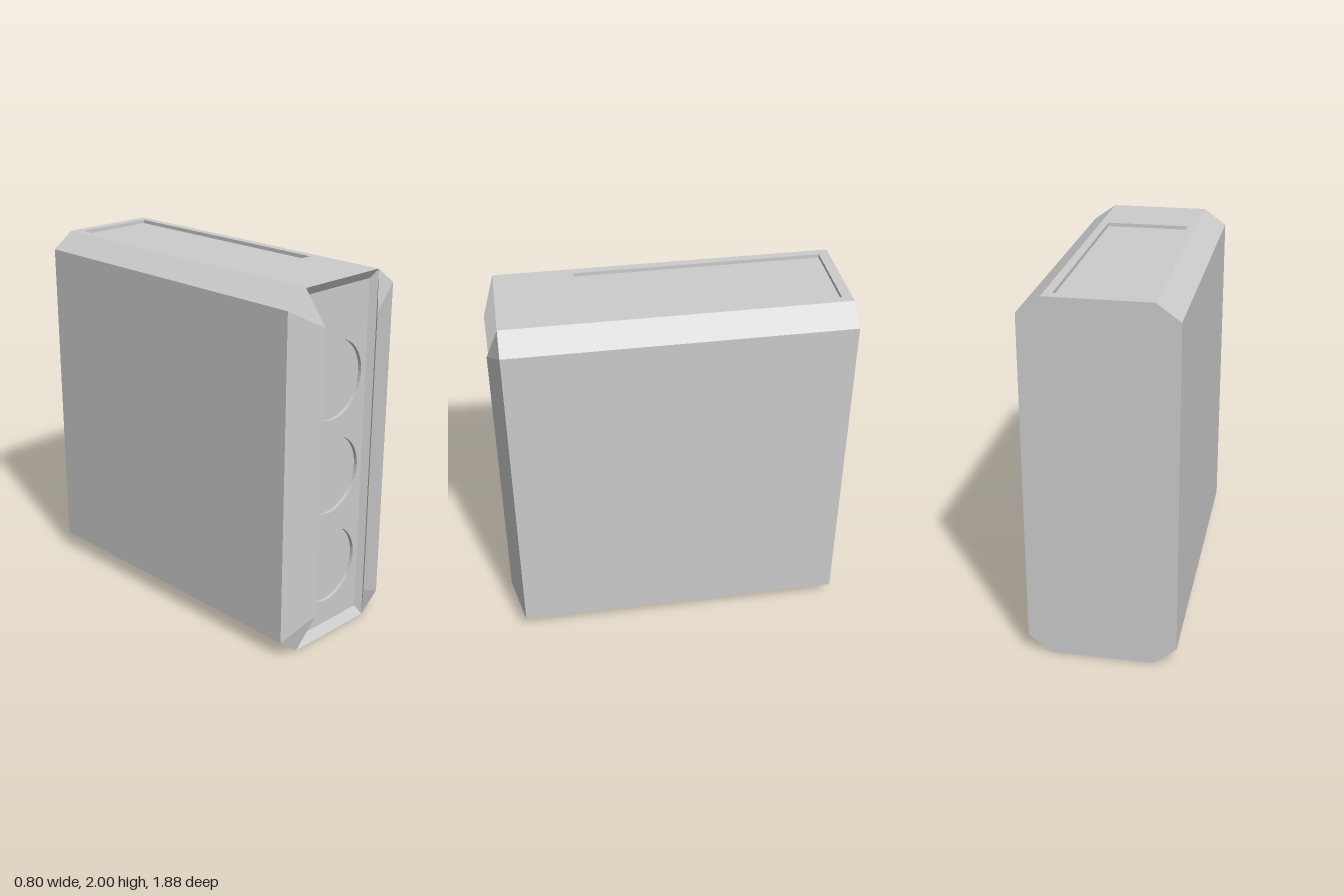
import * as THREE from 'three';

const BACK = -0.94, FRONT = 0.88, TIP = 0.945, PANEL_Z = 0.845;
const material = new THREE.MeshStandardMaterial({ color: 0xcccccc, side: THREE.DoubleSide });

function addMesh(parent, name, geometry) {
  const mesh = new THREE.Mesh(geometry, material);
  mesh.name = name;
  parent.add(mesh);
  return mesh;
}

// Flat-shaded geometry from convex polygons, each a list of [x, y, z] corners
function facets(polygons) {
  const positions = [];
  for (const p of polygons) {
    for (let i = 1; i < p.length - 1; i++) positions.push(...p[0], ...p[i], ...p[i + 1]);
  }
  const geometry = new THREE.BufferGeometry();
  geometry.setAttribute('position', new THREE.Float32BufferAttribute(positions, 3));
  geometry.computeVertexNormals();
  return geometry;
}

// Counter-clockwise rectangle corners
function rectangle(x0, y0, x1, y1) {
  return [[x0, y0], [x1, y0], [x1, y1], [x0, y1]];
}

// Counter-clockwise circle points
function circle(cx, cy, r, n = 48) {
  return Array.from({ length: n }, (_, i) => {
    const a = (i / n) * Math.PI * 2;
    return [cx + r * Math.cos(a), cy + r * Math.sin(a)];
  });
}

const toVectors = (points) => points.map(([x, y]) => new THREE.Vector2(x, y));

// Panel facing +z with sunken pockets
function pocketPanel(name, outline, pockets, depth) {
  const group = new THREE.Group();
  group.name = name;
  const face = new THREE.Shape(toVectors(outline));
  pockets.forEach((points) => face.holes.push(new THREE.Path(toVectors(points))));
  addMesh(group, name + 'Face', new THREE.ShapeGeometry(face));
  for (const points of pockets) {
    const walls = points.map(([ax, ay], i) => {
      const [bx, by] = points[(i + 1) % points.length];
      return [[ax, ay, 0], [bx, by, 0], [bx, by, -depth], [ax, ay, -depth]];
    });
    addMesh(group, 'pocketWall', facets(walls));
    const floor = addMesh(group, 'pocketFloor', new THREE.ShapeGeometry(new THREE.Shape(toVectors(points))));
    floor.position.z = -depth;
  }
  return group;
}

export function createModel() {
  const model = new THREE.Group();
  model.name = 'computerCase';

  // Chamfered shell: back and all sides except the top
  const outline = [
    [-0.275, 0], [0.275, 0], [0.4, 0.1], [0.4, 1.91],
    [0.275, 2], [-0.275, 2], [-0.4, 1.91], [-0.4, 0.1],
  ];
  const shell = [outline.map(([x, y]) => [x, y, BACK]).reverse()];
  outline.forEach(([ax, ay], i) => {
    if (i === 4) return;
    const [bx, by] = outline[(i + 1) % outline.length];
    shell.push([[ax, ay, BACK], [bx, by, BACK], [bx, by, FRONT], [ax, ay, FRONT]]);
  });
  addMesh(model, 'shell', facets(shell));

  // Top with its sunken vent
  const top = pocketPanel('top', rectangle(-0.275, -FRONT, 0.275, -BACK),
    [rectangle(-0.23, -0.455, 0.23, 0.885)], 0.02);
  top.rotation.x = -Math.PI / 2;
  top.position.y = 2;
  model.add(top);

  // Sloping lip around the front opening
  const outer = rectangle(-0.275, 0, 0.275, 2), inner = rectangle(-0.25, 0.05, 0.25, 1.95);
  addMesh(model, 'frontLip', facets(outer.map((a, i) => {
    const j = (i + 1) % 4;
    return [[...a, FRONT], [...outer[j], FRONT], [...inner[j], PANEL_Z], [...inner[i], PANEL_Z]];
  })));

  // Front panel with three round fan recesses
  const front = pocketPanel('frontPanel', inner,
    [0.4, 0.93, 1.46].map((y) => circle(0, y, 0.215)), 0.02);
  front.position.z = PANEL_Z;
  model.add(front);

  // Angled fins overhanging both sides of the front panel
  for (const side of [1, -1]) {
    const a = [0.4, 0.1, FRONT], b = [0.4, 1.91, FRONT], c = [0.275, 2, FRONT];
    const d = [0.2, 1.8, TIP], e = [0.2, 0.21, TIP], f = [0.275, 0, FRONT];
    const fin = [[a, b, d, e], [b, c, d], [a, e, f], [d, c, f, e]].map((polygon) => {
      const corners = polygon.map(([x, y, z]) => [side * x, y, z]);
      return side > 0 ? corners : corners.reverse();
    });
    addMesh(model, side > 0 ? 'leftFin' : 'rightFin', facets(fin));
  }

  return model;
}
